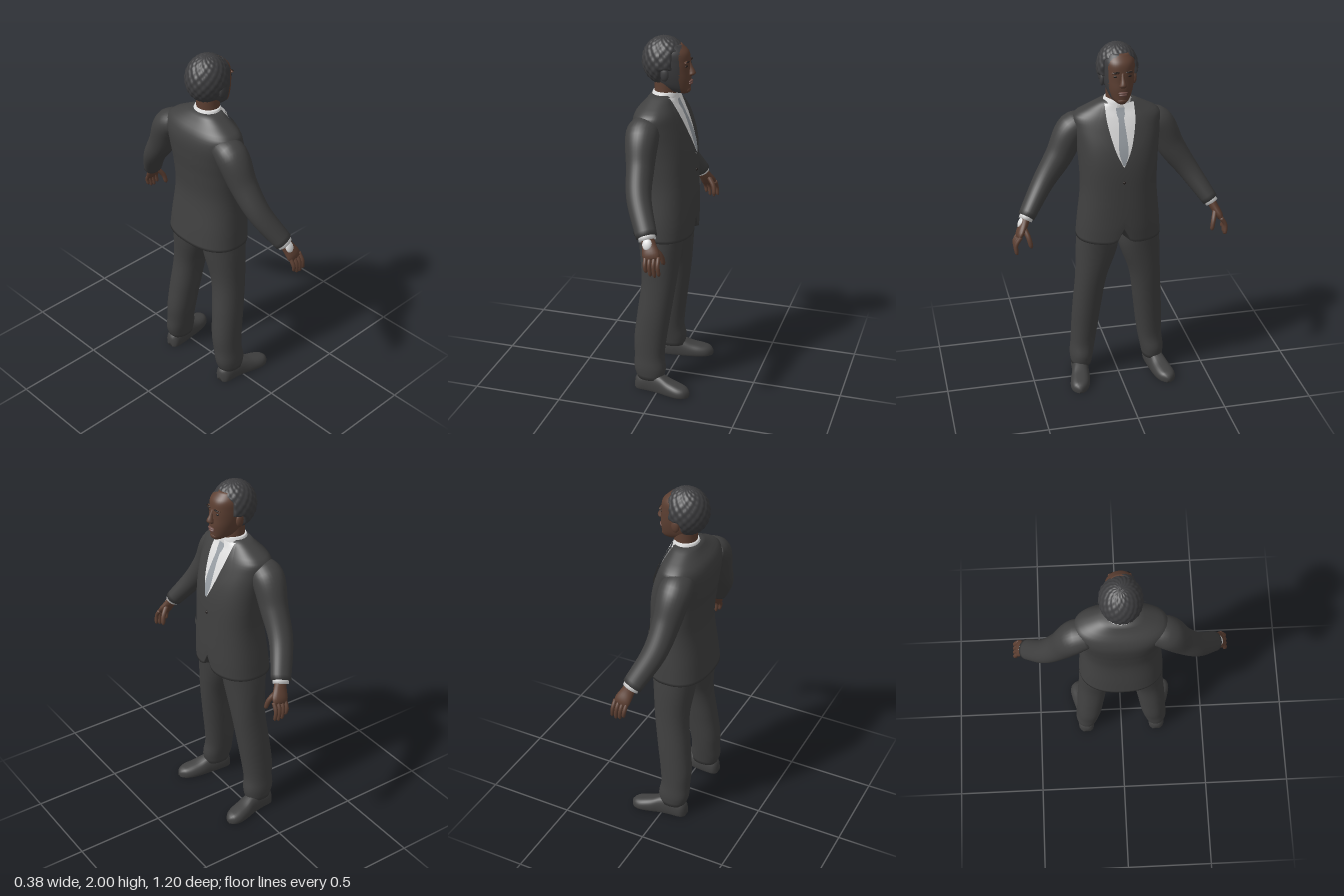
import * as THREE from 'three';

const mat = (name, color, side = THREE.FrontSide) => {
  const m = new THREE.MeshStandardMaterial({ color, side });
  m.name = name;
  return m;
};

// Smooth lookup in a table whose first column is the key
function sample(rows, k) {
  let i = 0;
  while (i < rows.length - 2 && k > rows[i + 1][0]) i++;
  const a = rows[i], b = rows[i + 1], p = rows[i - 1] || a, q = rows[i + 2] || b;
  const h = b[0] - a[0], t = Math.min(1, Math.max(0, (k - a[0]) / h)), t2 = t * t, t3 = t2 * t;
  return a.map((v, j) => {
    const ma = (b[j] - p[j]) / (b[0] - p[0]) * h, mb = (q[j] - v) / (q[0] - a[0]) * h;
    return (2 * t3 - 3 * t2 + 1) * v + (t3 - 2 * t2 + t) * ma + (3 * t2 - 2 * t3) * b[j] + (t3 - t2) * mb;
  });
}

// Closed skin over the rings made by ringPoint(row, angle), capped at both ends
function loft(rows, ringPoint, steps, n = 32) {
  const pos = [], index = [], k0 = rows[0][0], k1 = rows[rows.length - 1][0];
  for (let i = 0; i <= steps; i++) {
    const row = sample(rows, k0 + (k1 - k0) * i / steps);
    for (let j = 0; j < n; j++) pos.push(...ringPoint(row, j / n * Math.PI * 2));
  }
  for (let i = 0; i < steps; i++) for (let j = 0; j < n; j++) {
    const a = i * n + j, b = i * n + (j + 1) % n;
    index.push(a, b, a + n, b, b + n, a + n);
  }
  for (const i of [0, steps]) {
    const c = pos.length / 3, mid = [0, 0, 0];
    for (let j = 0; j < n; j++) for (let d = 0; d < 3; d++) mid[d] += pos[(i * n + j) * 3 + d] / n;
    pos.push(...mid);
    for (let j = 0; j < n; j++) {
      const a = i * n + j, b = i * n + (j + 1) % n;
      index.push(...(i ? [a, b, c] : [b, a, c]));
    }
  }
  // turn the skin outward when the rings run the other way
  const v = i => new THREE.Vector3().fromArray(pos, i * 3);
  let volume = 0;
  for (let i = 0; i < index.length; i += 3) volume += v(index[i]).dot(v(index[i + 1]).cross(v(index[i + 2])));
  if (volume < 0) index.reverse();
  const g = new THREE.BufferGeometry();
  g.setAttribute('position', new THREE.Float32BufferAttribute(pos, 3));
  g.setIndex(index);
  g.computeVertexNormals();
  return g;
}

const pw = (v, e) => Math.sign(v) * Math.abs(v) ** e;
// Horizontal ring from [y, centre x, half width, front z, back z]
const flatRing = e => ([y, x, w, f, b], a) =>
  [x + w * pw(Math.cos(a), e), y, (f + b) / 2 + (f - b) / 2 * pw(Math.sin(a), e)];

// Ring square to a limb from [t, x, y, z, radius, depth]
const limb = rows => {
  const at = t => new THREE.Vector3(...sample(rows, t).slice(1, 4));
  return ([t, x, y, z, r, d], a) => {
    const dir = at(Math.min(1, t + 0.02)).sub(at(Math.max(0, t - 0.02))).normalize();
    const u = new THREE.Vector3().crossVectors(dir, new THREE.Vector3(0, 0, 1)).normalize();
    const v = new THREE.Vector3().crossVectors(dir, u);
    return new THREE.Vector3(x, y, z).addScaledVector(u, r * Math.cos(a)).addScaledVector(v, d * Math.sin(a)).toArray();
  };
};

const TORSO = [
  [0.905, 0, 0.235, 0.148, -0.19], [1, 0, 0.228, 0.152, -0.18], [1.2, 0, 0.21, 0.15, -0.157],
  [1.35, 0, 0.215, 0.143, -0.167], [1.45, 0, 0.225, 0.124, -0.18], [1.55, 0, 0.238, 0.088, -0.185],
  [1.61, 0, 0.232, 0.06, -0.165], [1.65, 0, 0.165, 0.038, -0.13], [1.69, 0, 0.085, 0.022, -0.1]];
const torsoZ = (x, y) => {
  const [, , w, f, b] = sample(TORSO, y);
  return (f + b) / 2 + (f - b) / 2 * Math.max(0, 1 - Math.abs(x / w) ** 2.4) ** (1 / 2.4);
};

// Thin cloth plate lying on the chest between two edges
function plate(y0, y1, left, right, lift) {
  const g = new THREE.PlaneGeometry(1, 1, 10, 24), p = g.attributes.position;
  for (let i = 0; i < p.count; i++) {
    const y = y0 + (y1 - y0) * (p.getY(i) + 0.5);
    const x = left(y) + (right(y) - left(y)) * (p.getX(i) + 0.5);
    p.setXYZ(i, x, y, torsoZ(x, y) + lift);
  }
  g.computeVertexNormals();
  return g;
}

export function createModel() {
  const suit = mat('charcoal suit', 0x404040, THREE.DoubleSide), hair = mat('dark grey hair', 0x3d3d3f);
  const skin = mat('brown skin', 0x5c3f32), shirt = mat('white shirt', 0xdcdcdc, THREE.DoubleSide);
  const tie = mat('grey tie', 0x989ea4, THREE.DoubleSide), dark = mat('near black', 0x221c1a);
  const lipTone = mat('lip', 0x6a4a44);
  const man = new THREE.Group();
  man.name = 'man';
  const add = (name, g, m, parent = man) => {
    const mesh = new THREE.Mesh(g, m);
    mesh.name = name;
    parent.add(mesh);
    return mesh;
  };
  const blob = (name, m, pos, size, parent = man) => {
    const b = add(name, new THREE.SphereGeometry(1, 16, 12), m, parent);
    b.position.set(...pos);
    b.scale.set(...size);
    return b;
  };

  // Jacket, with the hem cut away at the front opening
  const jacket = loft(TORSO, flatRing(2 / 2.4), 48, 64), jp = jacket.attributes.position;
  for (let i = 0; i < jp.count; i++) {
    const y = jp.getY(i);
    if (jp.getZ(i) > 0.05 && y < 1.1) jp.setY(i, y + (1.1 - y) / 0.195 * 0.085 * Math.exp(-Math.abs(jp.getX(i)) / 0.022));
  }
  jacket.computeVertexNormals();
  add('jacket', jacket, suit);

  // Shirt opening, tie and lapels
  const V = [[1.36, 0.003], [1.43, 0.036], [1.5, 0.058], [1.6, 0.078], [1.68, 0.08]];
  const v = y => sample(V, y)[1];
  add('shirtFront', plate(1.36, 1.68, y => -v(y), v, 0.005), shirt);
  const T = [[1.37, 0.006], [1.44, 0.025], [1.61, 0.015], [1.62, 0.02], [1.66, 0.024]];
  const tw = y => sample(T, y)[1];
  add('tie', plate(1.37, 1.66, y => -tw(y), tw, 0.012), tie);
  const L = [[1.36, 0.006], [1.46, 0.05], [1.55, 0.07], [1.62, 0.035], [1.68, 0.006]];
  for (const s of [-1, 1]) {
    add('lapel', plate(1.36, 1.68, y => s * v(y), y => s * (v(y) + sample(L, y)[1]), 0.012), suit);
    add('collarPoint', plate(1.615, 1.68, y => s * (0.045 - (y - 1.615) * 0.5), y => s * (0.048 + (y - 1.615) * 0.5), 0.017), shirt);
    add('pocketFlap', plate(1.13, 1.165, () => s * 0.085, () => s * 0.17, 0.008), suit);
  }
  add('button', new THREE.SphereGeometry(0.008, 10, 8), dark).position.set(0, 1.27, 0.148);

  // Collar and neck
  add('collar', loft([[1.645, 0, 0.09, 0.045, -0.1], [1.68, 0, 0.08, 0.043, -0.1], [1.705, 0, 0.07, 0.035, -0.09]], flatRing(1), 8), shirt);
  add('neck', loft([[1.64, 0, 0.066, 0.035, -0.085], [1.72, 0, 0.063, 0.04, -0.085], [1.8, 0, 0.063, 0.04, -0.085]], flatRing(1), 8), skin);

  // Head: the right side behind the cheek is grey
  const head = loft([
    [1.698, 0, 0.022, 0.1, 0.03], [1.712, 0, 0.042, 0.109, -0.02], [1.74, 0, 0.06, 0.112, -0.07],
    [1.78, 0, 0.073, 0.115, -0.1], [1.82, 0, 0.081, 0.112, -0.115], [1.87, 0, 0.084, 0.11, -0.12],
    [1.92, 0, 0.082, 0.1, -0.12], [1.96, 0, 0.06, 0.06, -0.09]], flatRing(0.9), 32, 48);
  const hp = head.attributes.position, idx = [...head.index.array], parts = [[], []];
  for (let i = 0; i < idx.length; i += 3) {
    const tri = idx.slice(i, i + 3), mid = f => tri.reduce((s, k) => s + f(k), 0) / 3;
    const grey = mid(k => hp.getX(k)) < -0.01 && mid(k => hp.getZ(k)) < 0.068;
    parts[+grey].push(...tri);
  }
  head.setIndex([...parts[0], ...parts[1]]);
  head.addGroup(0, parts[0].length, 0);
  head.addGroup(parts[0].length, parts[1].length, 1);
  add('head', head, [skin, hair]);

  // Face
  add('nose', loft([[1.793, 0, 0.012, 0.122, 0.1], [1.803, 0, 0.021, 0.138, 0.1], [1.815, 0, 0.017, 0.139, 0.1],
    [1.84, 0, 0.011, 0.126, 0.095], [1.87, 0, 0.009, 0.111, 0.09]], flatRing(1), 14, 16), skin);
  blob('upperLip', lipTone, [0, 1.765, 0.113], [0.026, 0.007, 0.012]);
  blob('lowerLip', lipTone, [0, 1.753, 0.112], [0.022, 0.008, 0.012]);
  blob('chin', skin, [0, 1.718, 0.095], [0.028, 0.018, 0.019]);
  for (const s of [-1, 1]) {
    blob('eye', dark, [s * 0.034, 1.852, 0.099], [0.014, 0.006, 0.007]);
    blob('brow', skin, [s * 0.033, 1.872, 0.099], [0.026, 0.008, 0.012]);
    blob('eyebrow', dark, [s * 0.034, 1.875, 0.104], [0.021, 0.004, 0.009]);
    blob('ear', s < 0 ? hair : skin, [s * 0.087, 1.81, -0.005], [0.013, 0.036, 0.023]);
  }

  // Curly hair: a bumpy cap tucked in below the hairline
  const cap = new THREE.SphereGeometry(1, 96, 64), cp = cap.attributes.position;
  for (let i = 0; i < cp.count; i++) {
    const x = cp.getX(i), y = cp.getY(i), z = cp.getZ(i), a = Math.atan2(x, z), b = Math.asin(Math.max(-1, Math.min(1, y)));
    const face = THREE.MathUtils.smoothstep(0.5 - y, 0, 0.12) * THREE.MathUtils.smoothstep(z, 0.5, 0.66);
    const under = THREE.MathUtils.smoothstep(-y, 0.2, 0.4) * THREE.MathUtils.smoothstep(z, -0.1, 0.2);
    const bump = 1 + 0.03 * Math.sin(a * 16) * Math.sin(b * 16) * Math.cos(b);
    const r = bump * (1 - 0.4 * Math.max(face, under));
    cp.setXYZ(i, x * 0.11 * r, 1.867 + y * 0.131 * r, -0.03 + z * 0.121 * r);
  }
  cap.computeVertexNormals();
  add('hair', cap, hair);

  // Arms and legs, built on one side and mirrored
  const ARM = [[0, 0.16, 1.555, -0.08, 0.06, 0.075], [0.15, 0.235, 1.52, -0.08, 0.083, 0.09], [0.45, 0.315, 1.37, -0.068, 0.075, 0.075],
    [0.72, 0.41, 1.23, -0.045, 0.059, 0.066], [1, 0.517, 1.07, 0.03, 0.045, 0.056]];
  const LEG = [[0.07, 0.213, 0.058, 0.025, -0.125], [0.13, 0.21, 0.066, 0.036, -0.145], [0.2, 0.2, 0.069, 0.025, -0.145],
    [0.3, 0.19, 0.074, 0.033, -0.15], [0.45, 0.177, 0.08, 0.053, -0.135], [0.65, 0.155, 0.088, 0.08, -0.115],
    [0.84, 0.12, 0.116, 0.1, -0.133], [0.97, 0.112, 0.112, 0.115, -0.145]];
  const SHOE = [[-0.137, 0.215, 0.022, 0.06], [-0.12, 0.216, 0.043, 0.085], [-0.05, 0.22, 0.048, 0.11], [0.01, 0.228, 0.05, 0.1],
    [0.07, 0.24, 0.056, 0.075], [0.13, 0.252, 0.055, 0.06], [0.17, 0.257, 0.038, 0.048], [0.188, 0.258, 0.012, 0.03]];
  const shoeRing = ([z, x, w, h], a) => [x + w * pw(Math.cos(a), 0.7), Math.max(0, h * (0.3 + 0.7 * Math.sin(a))), z];

  for (const s of [1, -1]) {
    const side = new THREE.Group();
    side.name = s > 0 ? 'leftLimbs' : 'rightLimbs';
    side.scale.x = s;
    man.add(side);
    add('sleeve', loft(ARM, limb(ARM), 28), suit, side);
    const cuff = [[0, 0.505, 1.09, 0.022, 0.036, 0.045], [1, 0.525, 1.055, 0.037, 0.037, 0.046]];
    add('cuff', loft(cuff, limb(cuff), 2), shirt, side);
    const palm = [[0, 0.515, 1.08, 0.03, 0.026, 0.032], [0.4, 0.535, 1.035, 0.048, 0.024, 0.038],
      [0.8, 0.56, 0.99, 0.066, 0.021, 0.046], [1, 0.568, 0.968, 0.073, 0.013, 0.04]];
    add('palm', loft(palm, limb(palm), 12, 20), skin, side);
    const finger = (name, a, b, c, r) => {
      const path = [[0, ...a, r, r], [0.55, ...b, r * 0.95, r * 0.95], [0.93, ...c, r * 0.75, r * 0.75],
        [1, c[0], c[1] - 0.004, c[2], r * 0.3, r * 0.3]];
      add(name, loft(path, limb(path), 10, 12), skin, side);
    };
    for (let i = 0; i < 4; i++) {
      const z = 0.038 + i * 0.023, tip = [0.905, 0.887, 0.883, 0.893][i];
      finger('finger', [0.562, 0.985, z], [0.588, 0.94, z + 0.004], [0.586, tip, z + 0.01], 0.0115);
    }
    finger('thumb', [0.535, 1.02, 0.075], [0.517, 0.972, 0.108], [0.507, 0.925, 0.118], 0.014);
    add('trouserLeg', loft(LEG, flatRing(0.92), 36), suit, side);
    add('shoe', loft(SHOE, shoeRing, 28), suit, side);
  }
  // Shirt cuff slipping over the back of the right hand
  blob('loweredCuff', shirt, [-0.551, 1.045, 0.043], [0.013, 0.032, 0.026]).rotation.z = -0.45;

  man.rotation.y = Math.PI / 2;
  const model = new THREE.Group();
  model.name = 'model';
  model.add(man);
  return model;
}
